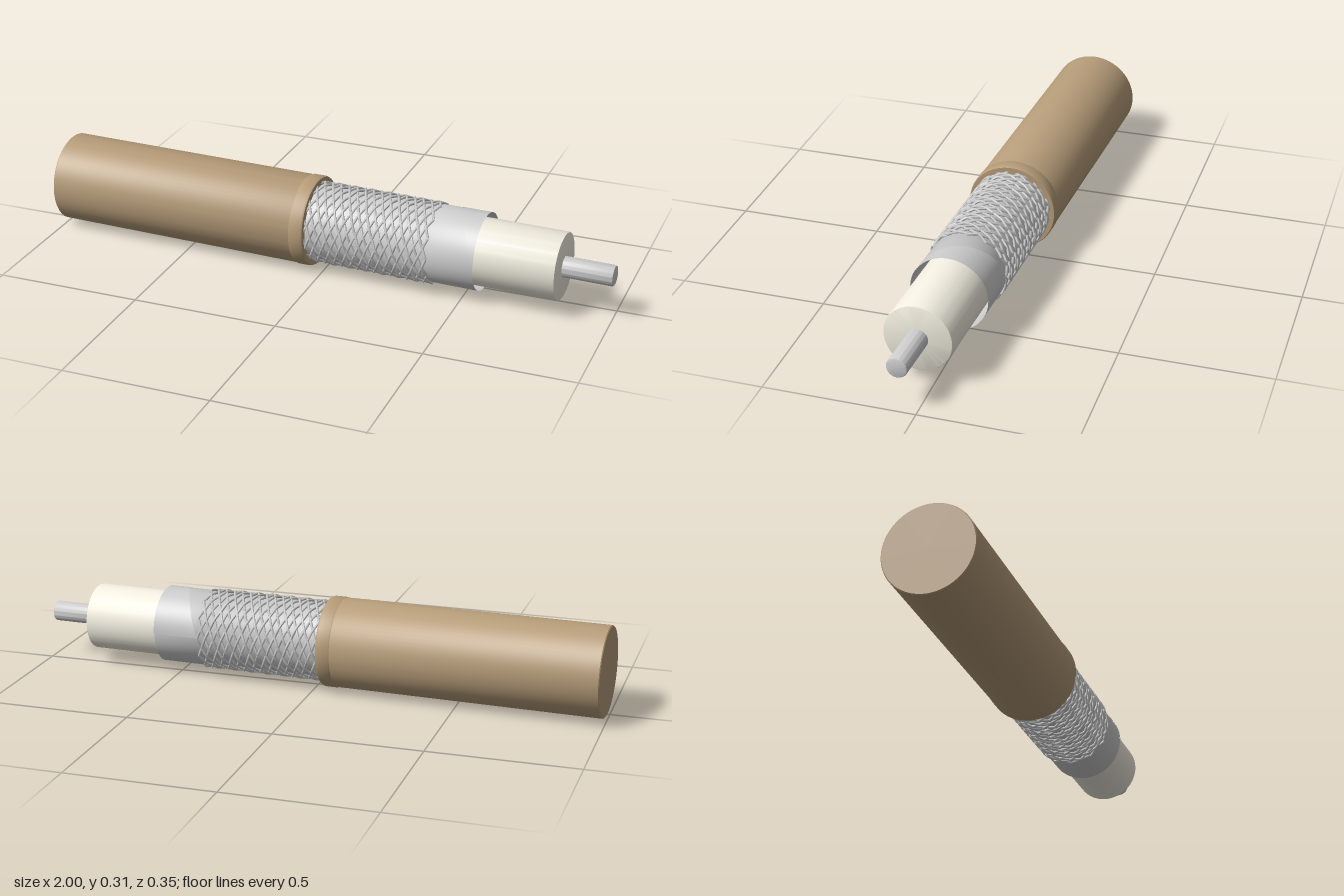
import * as THREE from 'three';
import { toCreasedNormals } from 'three/addons/utils/BufferGeometryUtils.js';

const brown = new THREE.MeshStandardMaterial({ color: 0xb59b78 });
const cream = new THREE.MeshStandardMaterial({ color: 0xf0ecde });
const metal = new THREE.MeshStandardMaterial({ color: 0xcccccc });
const foilMetal = new THREE.MeshStandardMaterial({ color: 0xcccccc, side: THREE.DoubleSide });

// Turned part along the x axis; profile is a list of [radius, x]
function turned(name, profile, material) {
  const points = profile.map(([r, x]) => new THREE.Vector2(r, x));
  const geometry = new THREE.LatheGeometry(points, 64).rotateZ(-Math.PI / 2);
  const mesh = new THREE.Mesh(toCreasedNormals(geometry, 0.6), material);
  mesh.name = name;
  return mesh;
}

// Solid rod with a small bevel on its ends
function rod(name, radius, x0, x1, bevel, material) {
  return turned(name, [
    [0, x0], [radius - bevel, x0], [radius, x0 + bevel],
    [radius, x1 - bevel], [radius - bevel * 0.3, x1 - bevel * 0.3], [radius - bevel, x1], [0, x1],
  ], material);
}

// Helical wire that weaves in and out of the wires running the other way
class BraidWire extends THREE.Curve {
  constructor(index, count, hand) {
    super();
    Object.assign(this, { index, count, hand });
  }
  getPoint(t, target = new THREE.Vector3()) {
    const turns = 1.25;
    const angle = (this.index / this.count + this.hand * turns * t) * Math.PI * 2;
    const weave = Math.cos(this.count * turns * Math.PI * 2 * t + this.index * Math.PI);
    const r = 0.1335 + 0.0018 * this.hand * weave;
    return target.set(-0.045 + 0.445 * t, r * Math.cos(angle), r * Math.sin(angle));
  }
}

function braid() {
  const group = new THREE.Group();
  group.name = 'braidedShield';
  const count = 12;
  for (const hand of [-1, 1]) {
    for (let i = 0; i < count; i++) {
      const wire = new THREE.Mesh(
        new THREE.TubeGeometry(new BraidWire(i, count, hand), 160, 0.0045, 6), metal);
      wire.name = 'braidWire';
      group.add(wire);
    }
  }
  return group;
}

// Overlapping layer of the foil, bounded by a diagonal seam
function foilOverlap() {
  const geometry = new THREE.PlaneGeometry(1, 1, 48, 4);
  const p = geometry.attributes.position;
  for (let i = 0; i < p.count; i++) {
    const u = p.getX(i) + 0.5, v = p.getY(i) + 0.5;
    const angle = (u - 0.5) * Math.PI;
    const seam = 0.4 + 0.16 * u;
    p.setXYZ(i, THREE.MathUtils.lerp(seam, 0.562, v), 0.1325 * Math.cos(angle), 0.1325 * Math.sin(angle));
  }
  geometry.computeVertexNormals();
  const mesh = new THREE.Mesh(geometry, foilMetal);
  mesh.name = 'foilOverlap';
  return mesh;
}

export function createModel() {
  const model = new THREE.Group();
  model.name = 'strippedCable';
  const cable = new THREE.Group();
  cable.name = 'cable';

  // Outer jacket and the lip at its cut end
  cable.add(rod('jacket', 0.153, -0.994, -0.06, 0.003, brown));
  cable.add(turned('jacketLip', [
    [0.125, -0.087], [0.152, -0.087], [0.155, -0.08], [0.155, -0.043],
    [0.152, -0.036], [0.125, -0.036],
  ], brown));

  // Woven shield over the foil wrap
  cable.add(braid());
  cable.add(turned('foilWrap', [[0.128, -0.06], [0.128, 0.39], [0.131, 0.395], [0.131, 0.56]], foilMetal));
  cable.add(foilOverlap());

  // Insulating core and centre conductor
  cable.add(rod('insulation', 0.114, 0.3, 0.83, 0.005, cream));
  cable.add(rod('conductor', 0.035, 0.8, 1, 0.006, metal));

  // The cable lies slightly askew
  cable.rotation.y = -0.0417;
  cable.position.set(0, 0.155, 0.0165);
  model.add(cable);
  return model;
}
